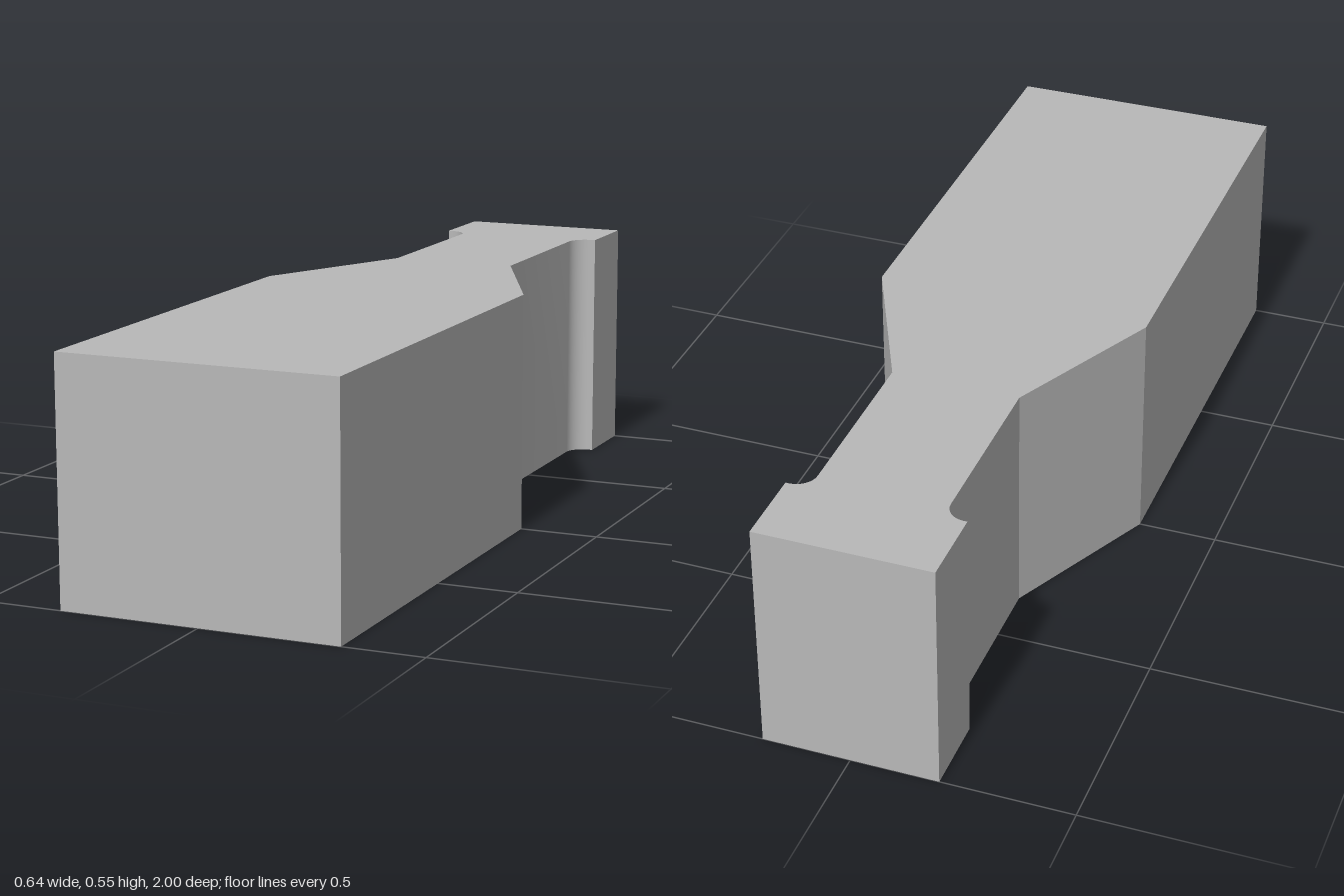
import * as THREE from 'three';
import { toCreasedNormals } from 'three/addons/utils/BufferGeometryUtils.js';

export function createModel() {
  const group = new THREE.Group();
  group.name = 'bottleBlock';
  const grey = new THREE.MeshStandardMaterial({ color: 0xb8b8b8 });
  grey.name = 'plain grey';

  // Half outline from above (x, -z): body, sloped shoulder, neck
  const half = [[0.318, -1], [0.318, 0], [0.147, 0.362]].map(([x, y]) => new THREE.Vector2(x, y));

  // Rounded fillet between the neck and the head
  const radius = 0.045;
  for (let i = 0; i <= 8; i++) {
    const a = Math.PI - (i / 8) * Math.PI / 2;
    half.push(new THREE.Vector2(0.147 + radius + radius * Math.cos(a), 0.775 + radius * Math.sin(a)));
  }

  // Square head
  half.push(new THREE.Vector2(0.2, 0.82), new THREE.Vector2(0.2, 1));

  // Mirror the outline and extrude it upwards
  const mirrored = half.map((p) => new THREE.Vector2(-p.x, p.y)).reverse();
  const solid = new THREE.ExtrudeGeometry(new THREE.Shape([...half, ...mirrored]), {
    depth: 0.545,
    bevelEnabled: false,
  });
  solid.rotateX(-Math.PI / 2);

  const body = new THREE.Mesh(toCreasedNormals(solid, 0.4), grey);
  body.name = 'body';
  group.add(body);
  return group;
}
